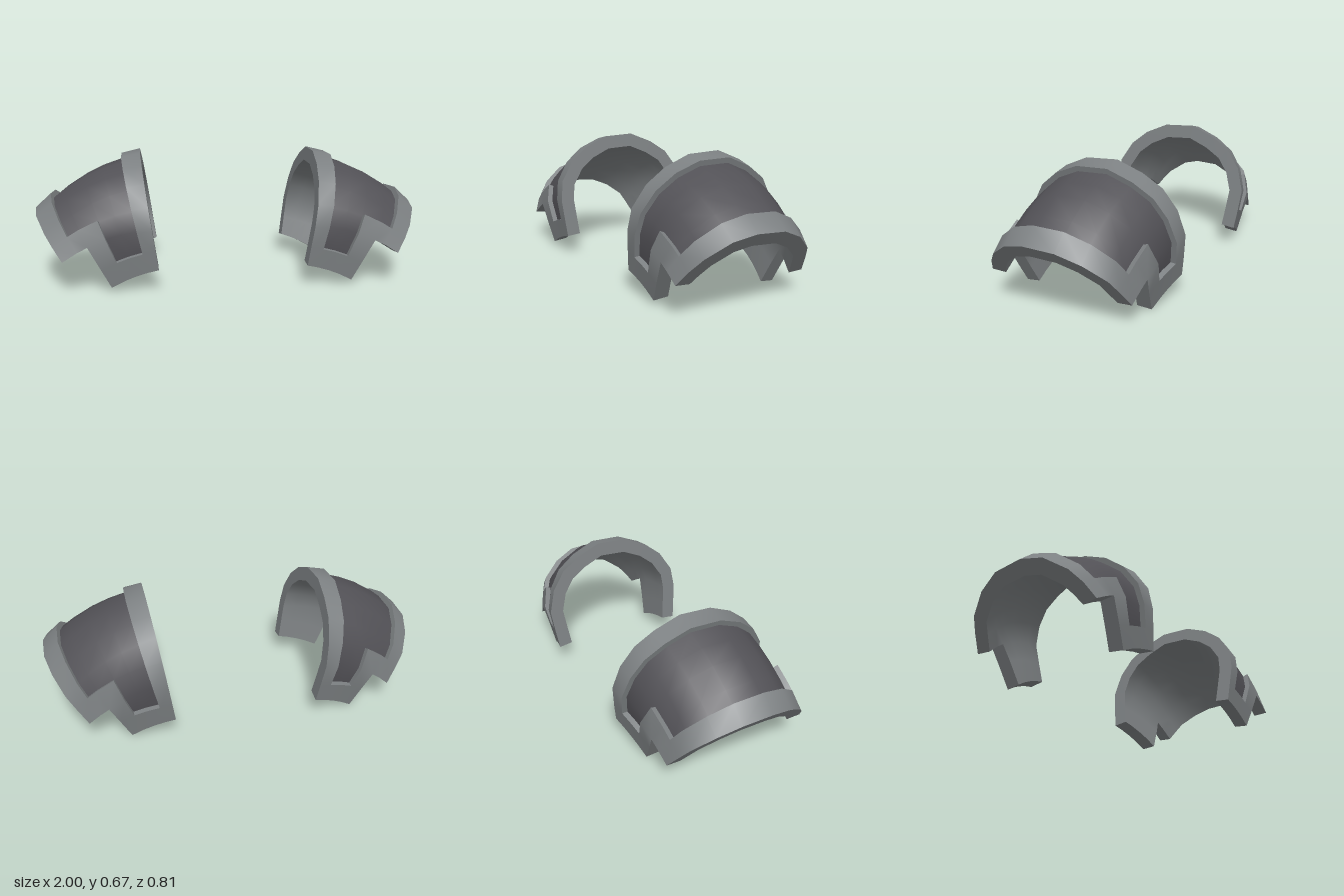
import * as THREE from 'three';
import { toCreasedNormals } from 'three/addons/utils/BufferGeometryUtils.js';

// The pads are swept in a fan about this pivot; sections are (z, radius) from front to back.
const PIVOT = { x: 0.265, y: -0.633 };
const INNER = [[0.385, 0.748], [0.395, 0.845], [0.405, 0.953], [0.39, 1.065], [0.32, 1.176], [0.225, 1.252], [0.1, 1.307],
  [-0.07, 1.315], [-0.2, 1.262], [-0.3, 1.196], [-0.37, 1.095], [-0.405, 0.969], [-0.39, 0.845], [-0.375, 0.745]];
const OUTER = [[0.375, 0.737], [0.39, 0.84], [0.405, 0.984], [0.37, 1.065], [0.32, 1.138], [0.215, 1.224], [0.1, 1.255],
  [-0.055, 1.244], [-0.17, 1.187], [-0.265, 1.095], [-0.295, 1.02], [-0.325, 0.922], [-0.31, 0.83], [-0.296, 0.705]];
const FAN = [8.5, 12.9, 17.5, 22, 27.6, 31, 35.8]; // degrees, neck side to arm side
const ROWS = INNER.length - 1, COLS = FAN.length - 1;
const RIM = 0, PLATE = 0.028, LINING = 0.075; // depths below the raised rim

// Section at one fan station, with a slight bulge in the middle
function section(i) {
  const t = (FAN[i] - FAN[0]) / (FAN[COLS] - FAN[0]);
  const bulge = 0.014 * Math.sin(Math.PI * t);
  return INNER.map(([z, r], j) => new THREE.Vector2(
    THREE.MathUtils.lerp(z, OUTER[j][0], t),
    THREE.MathUtils.lerp(r, OUTER[j][1], t) + bulge * Math.sin(Math.PI * j / ROWS)));
}
const SECTIONS = FAN.map((_, i) => section(i));

// Grid point pushed inwards by a depth
function point(i, j, depth, side) {
  const s = SECTIONS[i], p = s[j];
  const dir = s[Math.min(j + 1, ROWS)].clone().sub(s[Math.max(j - 1, 0)]).normalize();
  const z = p.x - dir.y * depth, r = p.y + dir.x * depth;
  const a = THREE.MathUtils.degToRad(FAN[i]);
  return [side * (PIVOT.x + r * Math.sin(a)), PIVOT.y + r * Math.cos(a), z];
}

// Kind of each grid cell: notch (none), rim or plate
function kind(i, j) {
  if (i < 0 || j < 0 || i >= COLS || j >= ROWS) return 'none';
  const row = Math.min(j, ROWS - 1 - j);
  if (row < 2 && i > 3) return 'none';
  if (i === 0 || i === COLS - 1 || row === 0 || (row < 3 && i > 2)) return 'rim';
  return 'plate';
}

function buildPad(side, materials) {
  const faces = { rim: [], plate: [], lining: [] };
  const quad = (list, a, b, c, d) => {
    if (side < 0) [b, d] = [d, b];
    list.push(...a, ...b, ...c, ...a, ...c, ...d);
  };
  for (let i = 0; i < COLS; i++) for (let j = 0; j < ROWS; j++) {
    const type = kind(i, j);
    if (type === 'none') continue;
    const corners = [[i, j], [i + 1, j], [i + 1, j + 1], [i, j + 1]];
    const at = (k, depth) => point(...corners[k % 4], depth, side);
    const top = type === 'rim' ? RIM : PLATE;
    quad(faces[type], at(0, top), at(1, top), at(2, top), at(3, top));
    quad(faces.lining, at(3, LINING), at(2, LINING), at(1, LINING), at(0, LINING));
    // Steps down to the plate and thick outer edges
    const neighbours = [[i, j - 1], [i + 1, j], [i, j + 1], [i - 1, j]];
    if (type === 'rim') neighbours.forEach((n, k) => {
      const other = kind(...n);
      if (other === 'rim') return;
      const low = other === 'plate' ? PLATE : LINING;
      quad(faces.rim, at(k, low), at(k + 1, low), at(k + 1, RIM), at(k, RIM));
    });
  }
  const pad = new THREE.Group();
  for (const [name, list] of Object.entries(faces)) {
    const geometry = new THREE.BufferGeometry();
    geometry.setAttribute('position', new THREE.Float32BufferAttribute(list, 3));
    const mesh = new THREE.Mesh(toCreasedNormals(geometry, 0.6), materials[name]);
    mesh.name = name;
    pad.add(mesh);
  }
  pad.name = side > 0 ? 'leftShoulderPad' : 'rightShoulderPad';
  return pad;
}

export function createModel() {
  const rim = new THREE.MeshStandardMaterial({ color: 0x7c8082 });
  rim.name = 'light grey';
  const plate = new THREE.MeshStandardMaterial({ color: 0x525156 });
  plate.name = 'dark grey';
  const model = new THREE.Group();
  model.name = 'shoulderPads';
  for (const side of [1, -1]) model.add(buildPad(side, { rim, plate, lining: rim }));
  return model;
}
